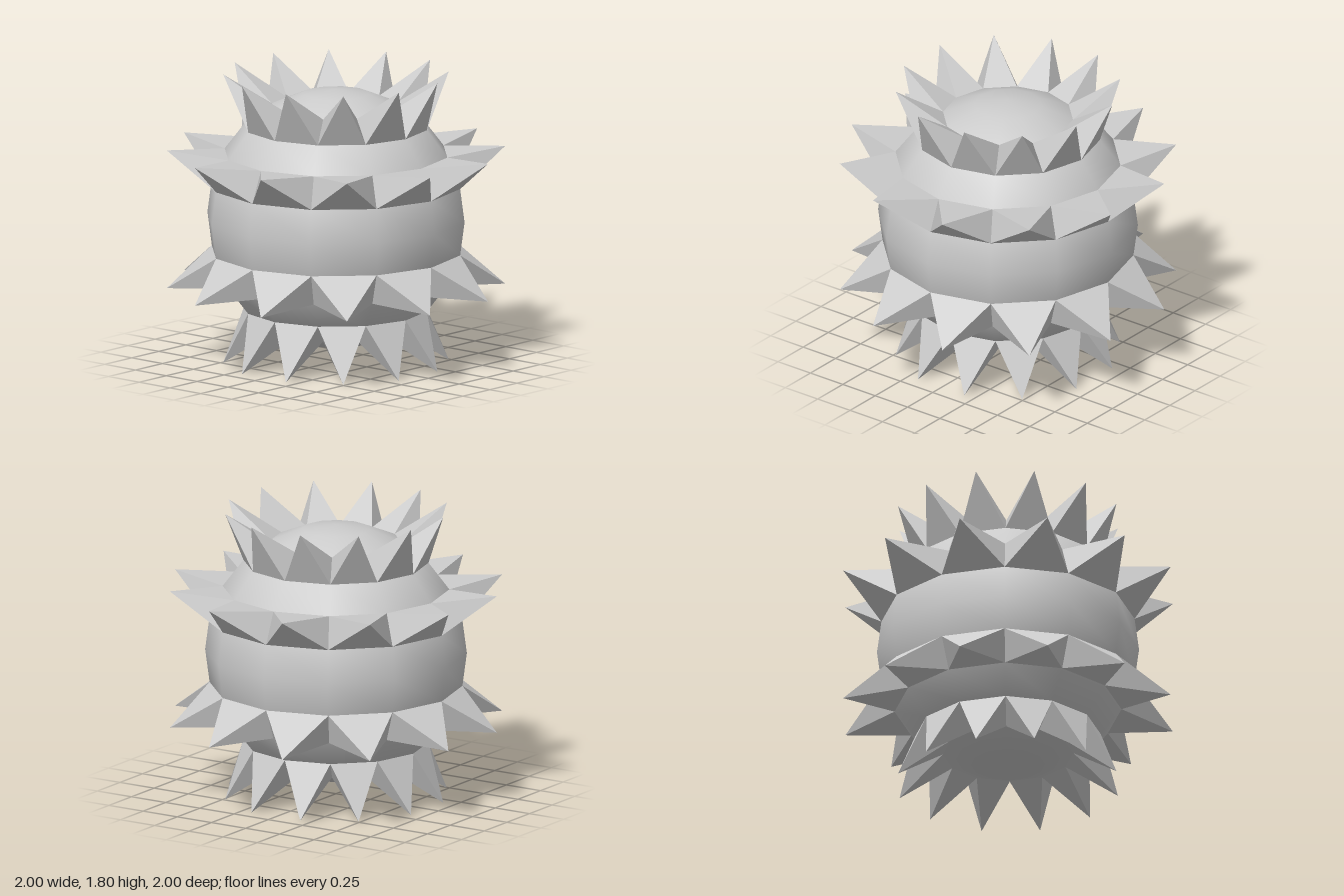
import * as THREE from 'three';

const R = 0.8, SIDES = 12, CENTRE = 0.9;

// Point at a radius and height on the given azimuth (in side steps)
function polar(r, y, step) {
  const a = (step / SIDES) * Math.PI * 2;
  return [r * Math.sin(a), y, r * Math.cos(a)];
}

// Ring of four-sided spikes, each rising from one facet between two latitudes
function spikeRing(lowDeg, highDeg, tipR, tipY, sign) {
  const ring = (deg, step) => {
    const t = THREE.MathUtils.degToRad(deg);
    return polar(R * Math.cos(t), sign * R * Math.sin(t), step);
  };
  const pos = [];
  for (let i = 0; i < SIDES; i++) {
    const base = [ring(lowDeg, i), ring(lowDeg, i + 1), ring(highDeg, i + 1), ring(highDeg, i)];
    if (sign < 0) base.reverse();
    const tip = polar(tipR, sign * tipY, i + 0.5);
    base.forEach((p, k) => pos.push(...p, ...base[(k + 1) % 4], ...tip));
  }
  const geo = new THREE.BufferGeometry();
  geo.setAttribute('position', new THREE.Float32BufferAttribute(pos, 3));
  geo.computeVertexNormals();
  return geo;
}

export function createModel() {
  const group = new THREE.Group();
  group.name = 'spikedBall';
  const smooth = new THREE.MeshStandardMaterial({ color: 0xcccccc });
  const flat = new THREE.MeshStandardMaterial({ color: 0xcccccc, flatShading: true });

  const add = (name, geo, mat) => {
    const mesh = new THREE.Mesh(geo, mat);
    mesh.name = name;
    mesh.position.y = CENTRE;
    group.add(mesh);
  };

  // Round body
  add('body', new THREE.SphereGeometry(R, SIDES, 12), smooth);

  // Wide and narrow spike rings, mirrored above and below the equator
  for (const [side, sign] of [['upper', 1], ['lower', -1]]) {
    add(side + 'WideSpikes', spikeRing(15, 30, 1.035, 0.43, sign), flat);
    add(side + 'NarrowSpikes', spikeRing(45, 60, 0.69, 0.9, sign), flat);
  }
  return group;
}
